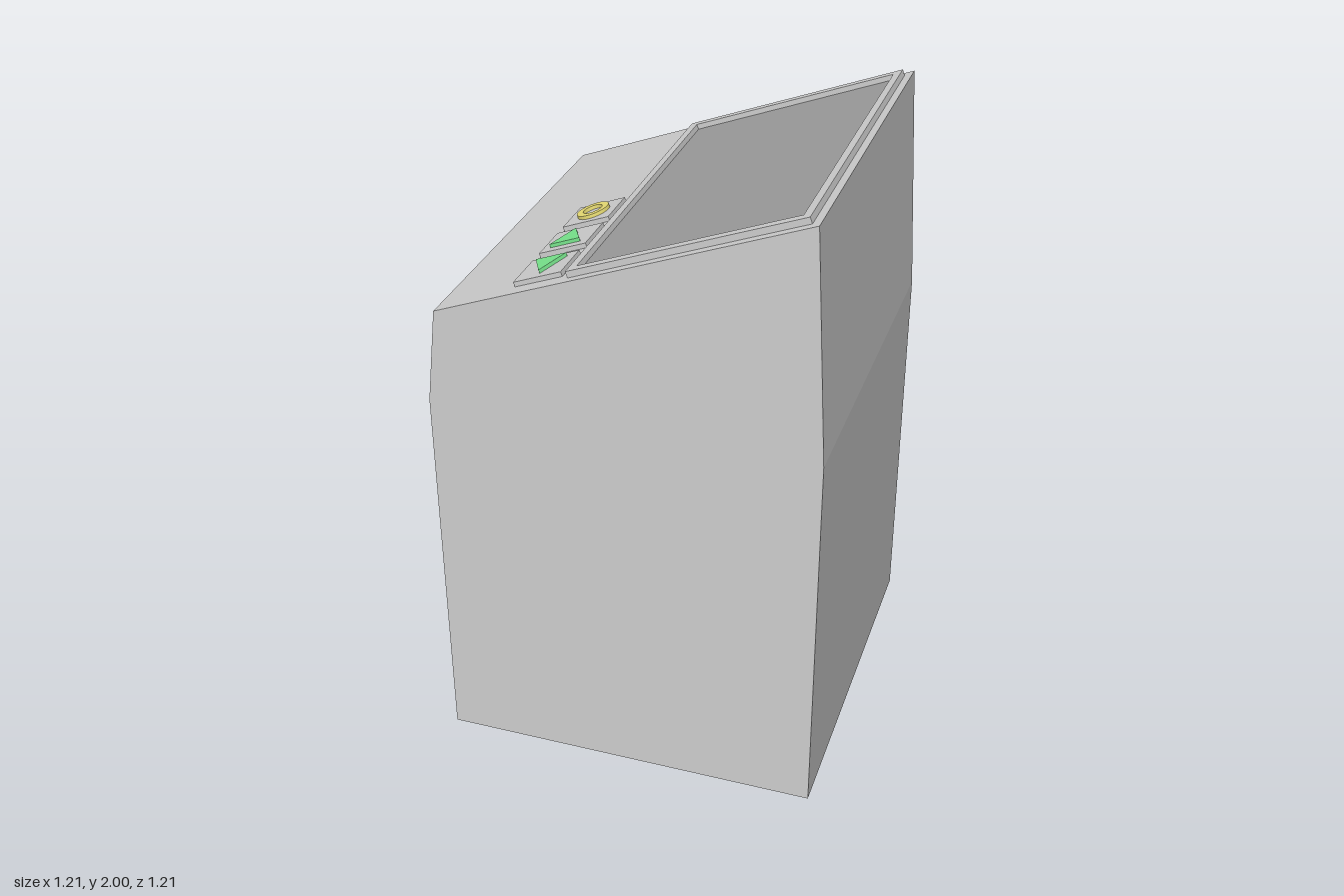
import * as THREE from 'three';

const material = (color) => new THREE.MeshStandardMaterial({ color, flatShading: true });
const grey = material(0xcccccc);
const dark = material(0x9b9b9b);
const yellow = material(0xe8dc74);
const green = material(0x78e48c);

const polygon = (points) => new THREE.Shape(points.map(([x, y]) => new THREE.Vector2(x, y)));
const rectangle = (u0, u1, z0, z1) => polygon([[u0, -z1], [u1, -z1], [u1, -z0], [u0, -z0]]);

// Flat part lying on the sloped panel: u runs up the slope, height is along its normal
function slab(name, shape, bottom, top, mat) {
  const geometry = new THREE.ExtrudeGeometry(shape, { depth: top - bottom, bevelEnabled: false, curveSegments: 16 });
  geometry.rotateX(-Math.PI / 2);
  geometry.translate(0, bottom, 0);
  const mesh = new THREE.Mesh(geometry, mat);
  mesh.name = name;
  return mesh;
}

export function createModel() {
  const model = new THREE.Group();
  model.name = 'controlKiosk';

  // Cabinet: tapered side profile with a sloped top
  const profile = polygon([
    [-0.607, 0], [0.607, 0], [0.607, 1.25], [0.565, 1.99], [-0.57, 1.555], [-0.607, 1.25],
  ]);
  const cabinetGeometry = new THREE.ExtrudeGeometry(profile, { depth: 1.214, bevelEnabled: false });
  cabinetGeometry.translate(0, 0, -0.607);
  const cabinet = new THREE.Mesh(cabinetGeometry, grey);
  cabinet.name = 'cabinet';
  model.add(cabinet);

  // Sloped control panel, starting at the low edge of the top
  const panel = new THREE.Group();
  panel.name = 'controlPanel';
  panel.position.set(-0.57, 1.555, 0);
  panel.rotation.z = Math.atan2(1.99 - 1.555, 0.565 + 0.57);
  model.add(panel);

  // Raised frame around the recessed screen
  const frame = rectangle(0.441, 1.188, -0.582, 0.579);
  frame.holes.push(rectangle(0.468, 1.162, -0.555, 0.551));
  panel.add(slab('screenFrame', frame, 0, 0.02, grey));
  panel.add(slab('screen', rectangle(0.468, 1.162, -0.555, 0.551), 0, 0.003, dark));

  // Symbols, centred on their buttons
  const ring = new THREE.Shape().absarc(0, 0, 0.052, 0, Math.PI * 2);
  ring.holes.push(new THREE.Path().absarc(0, 0, 0.031, 0, Math.PI * 2));
  const upArrow = polygon([[-0.051, -0.046], [0.051, -0.046], [0, 0.05]]);
  const downArrow = polygon([[-0.051, 0.046], [0, -0.05], [0.051, 0.046]]);

  // Column of three square buttons
  [
    ['ring', ring, yellow, 0.095],
    ['upArrow', upArrow, green, 0.287],
    ['downArrow', downArrow, green, 0.483],
  ].forEach(([name, shape, mat, z]) => {
    const button = new THREE.Group();
    button.name = name + 'Button';
    button.position.set(0.336, 0, z);
    button.add(slab('buttonPlate', rectangle(-0.079, 0.079, -0.074, 0.074), 0, 0.015, grey));
    button.add(slab(name, shape, 0.015, 0.026, mat));
    panel.add(button);
  });

  return model;
}
